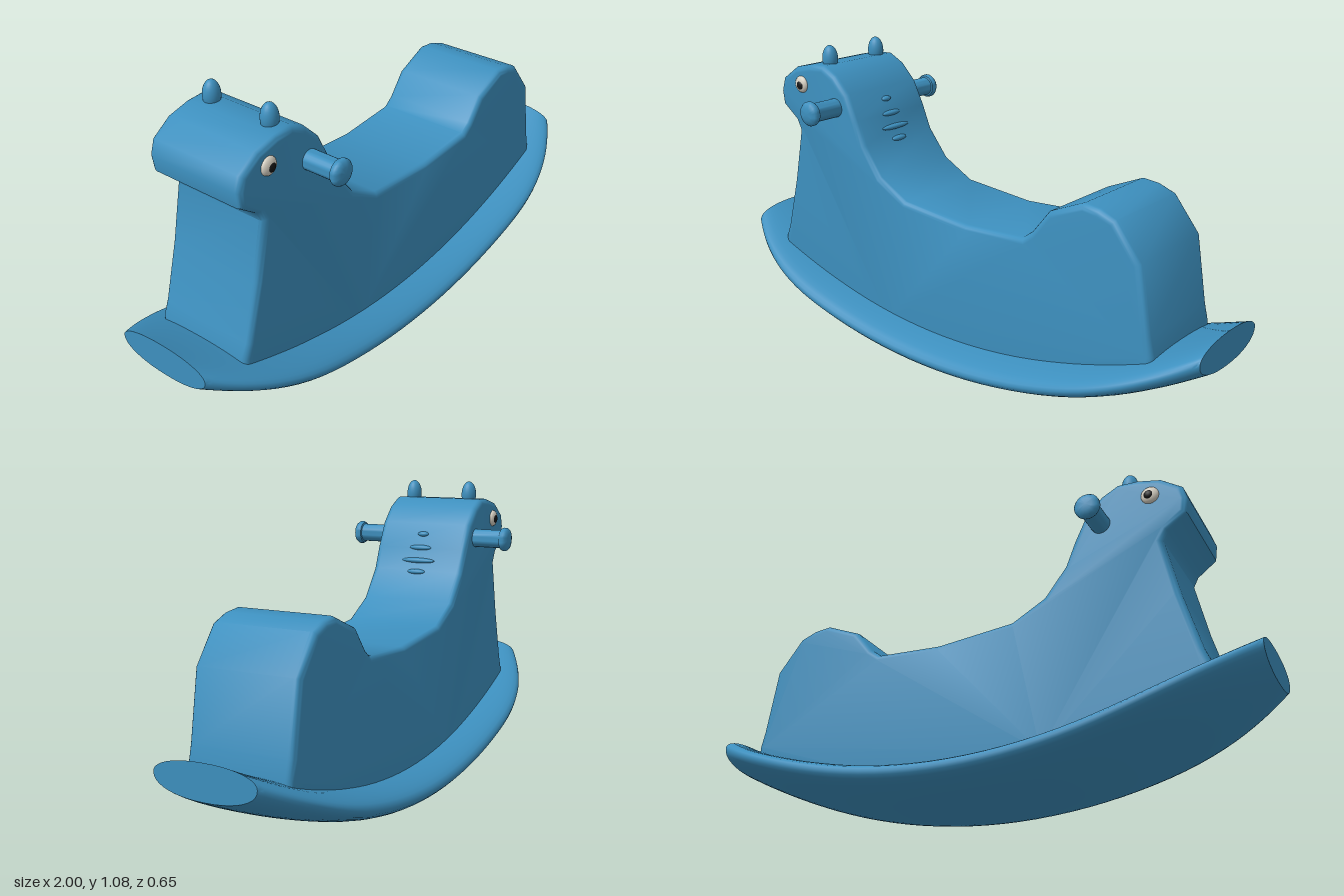
import * as THREE from 'three';
import { toCreasedNormals } from 'three/addons/utils/BufferGeometryUtils.js';

const blue = new THREE.MeshStandardMaterial({ color: 0x3d90bf });
const white = new THREE.MeshStandardMaterial({ color: 0xd8d2c4 });
const black = new THREE.MeshStandardMaterial({ color: 0x151515 });

// height of the rocking arc under a point x
const R = 2.053;
const arc = (x) => R - Math.sqrt(R * R - x * x);

function addMesh(parent, name, geometry, material, x = 0, y = 0, z = 0) {
  const mesh = new THREE.Mesh(geometry, material);
  mesh.name = name;
  mesh.position.set(x, y, z);
  parent.add(mesh);
  return mesh;
}

// curved slab: rounded cross-sections swept along the arc
function rockerGeometry() {
  const N = 48, M = 40, pos = [], idx = [];
  for (let i = 0; i <= N; i++) {
    const x = -Math.cos((i / N) * Math.PI);
    const end = Math.max(0, (Math.abs(x) - 0.5) / 0.5);
    const w = 0.307 - 0.13 * Math.pow(end, 2.7);
    const low = 0.065, high = 0.06 - 0.008 * end;
    for (let j = 0; j < M; j++) {
      const a = (j / M) * Math.PI * 2, c = Math.cos(a), s = Math.sin(a);
      const z = w * Math.sign(c) * Math.pow(Math.abs(c), 0.92);
      const y = Math.sign(s) * Math.pow(Math.abs(s), 0.92) * (s > 0 ? high : low);
      pos.push(x, arc(x) + low + y, z);
    }
  }
  for (let i = 0; i < N; i++) {
    for (let j = 0; j < M; j++) {
      const k = (j + 1) % M;
      const a = i * M + j, b = a + M, c = (i + 1) * M + k, d = i * M + k;
      idx.push(a, b, c, a, c, d);
    }
  }
  // flat end faces
  const first = pos.length / 3;
  pos.push(-1, arc(1) + 0.06, 0, 1, arc(1) + 0.06, 0);
  for (let j = 0; j < M; j++) {
    const k = (j + 1) % M;
    idx.push(first, j, k, first + 1, N * M + k, N * M + j);
  }
  const g = new THREE.BufferGeometry();
  g.setAttribute('position', new THREE.Float32BufferAttribute(pos, 3));
  g.setIndex(idx);
  return toCreasedNormals(g, 0.8);
}

// animal silhouette extruded sideways with soft edges
function bodyGeometry() {
  const outline = [
    [0.84, 0.30], [0.825, 0.36], [0.785, 0.59], [0.69, 0.708], [0.63, 0.73], [0.57, 0.736],
    [0.44, 0.68], [0.375, 0.597], [0.34, 0.57], [0.1, 0.555], [-0.18, 0.58], [-0.30, 0.645],
    [-0.38, 0.745], [-0.415, 0.83], [-0.46, 0.92], [-0.52, 0.98], [-0.58, 1.01], [-0.65, 1.007],
    [-0.73, 0.988], [-0.80, 0.94], [-0.816, 0.89], [-0.808, 0.835], [-0.74, 0.785], [-0.722, 0.75],
    [-0.765, 0.55], [-0.82, 0.35], [-0.84, 0.30],
  ].map(([x, y]) => new THREE.Vector2(x, y));
  // underside buried in the rocker
  for (let x = -0.84; x < 0.85; x += 0.14) outline.push(new THREE.Vector2(x, arc(x) + 0.06));
  const bevel = 0.022, half = 0.185;
  const g = new THREE.ExtrudeGeometry(new THREE.Shape(outline), {
    depth: 2 * (half - bevel), bevelThickness: bevel, bevelSize: bevel,
    bevelOffset: -bevel, bevelSegments: 5,
  });
  g.translate(0, 0, -(half - bevel));
  return toCreasedNormals(g, 0.7);
}

// peg with a rounded button end, pointing along +z
function handleGeometry() {
  const profile = [
    [0.034, 0], [0.034, 0.123], [0.040, 0.125], [0.044, 0.132], [0.044, 0.142],
    [0.038, 0.150], [0.022, 0.155], [0, 0.157],
  ].map(([r, h]) => new THREE.Vector2(r, h));
  return toCreasedNormals(new THREE.LatheGeometry(profile, 28).rotateX(Math.PI / 2), 0.7);
}

export function createModel() {
  const model = new THREE.Group();
  model.name = 'rockingToy';

  addMesh(model, 'rocker', rockerGeometry(), blue);
  addMesh(model, 'body', bodyGeometry(), blue);

  const ball = new THREE.SphereGeometry(1, 24, 16);
  const handle = handleGeometry();
  for (const side of [1, -1]) {
    const label = side > 0 ? 'left' : 'right';
    const peg = addMesh(model, label + 'Handle', handle, blue, -0.515, 0.867, side * 0.168);
    if (side < 0) peg.rotation.y = Math.PI;

    addMesh(model, label + 'Ear', ball, blue, -0.606, 1.025, side * 0.117).scale.set(0.03, 0.05, 0.028);

    const eye = new THREE.Group();
    eye.name = label + 'Eye';
    eye.position.set(-0.692, 0.929, side * 0.185);
    addMesh(eye, 'eyeball', ball, white).scale.set(0.031, 0.031, 0.016);
    addMesh(eye, 'pupil', ball, black, 0.002, -0.002, side * 0.008).scale.set(0.018, 0.018, 0.011);
    model.add(eye);
  }

  // mane ridges down the back of the neck
  const ridges = [[-0.441, 0.88, 0.022], [-0.417, 0.83, 0.045], [-0.396, 0.783, 0.068], [-0.378, 0.742, 0.036]];
  for (const [x, y, halfWidth] of ridges) {
    addMesh(model, 'maneRidge', ball, blue, x, y, 0).scale.set(0.013, 0.01, halfWidth);
  }
  return model;
}
